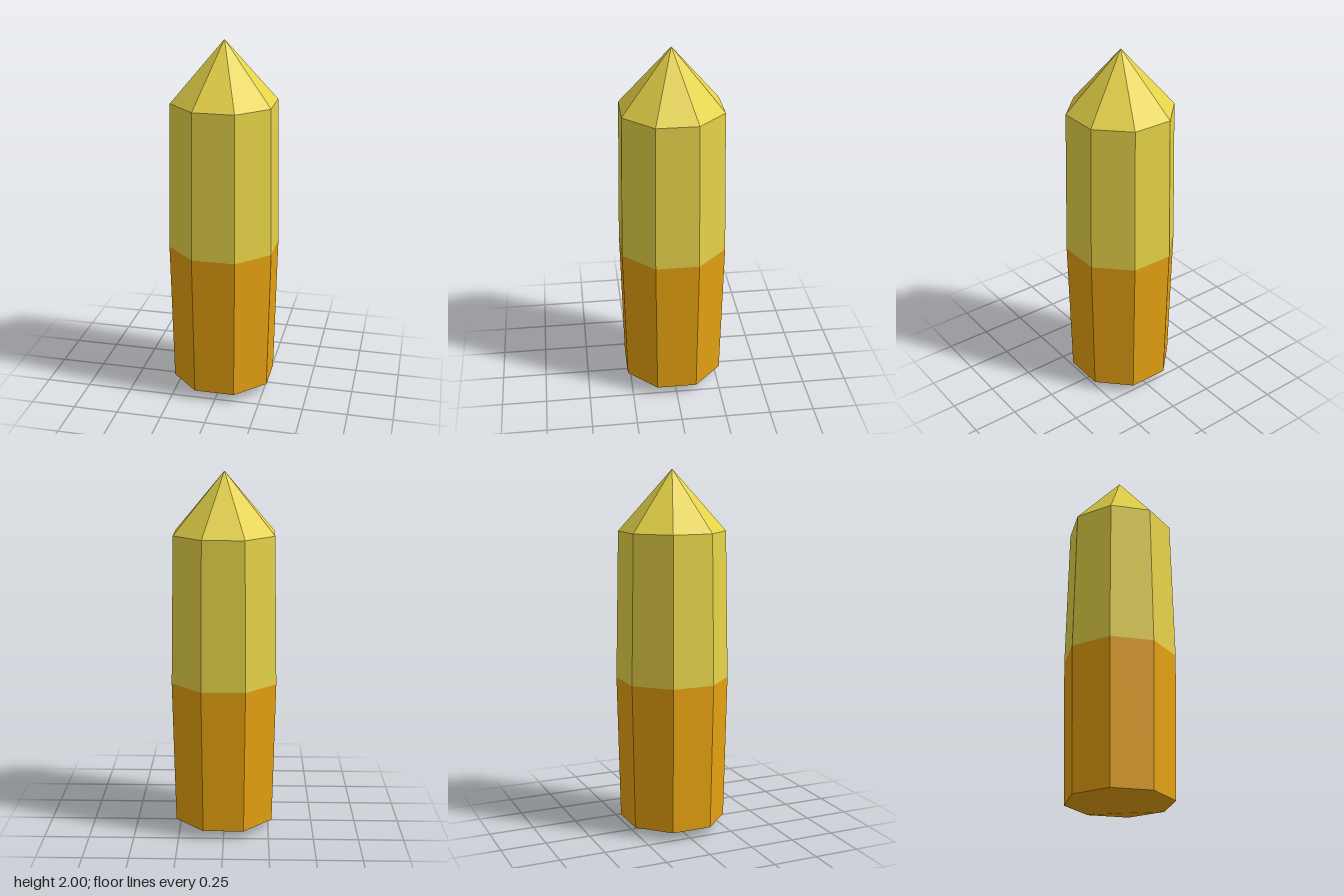
import * as THREE from 'three';

const SIDES = 8;
const toCorner = 1 / Math.cos(Math.PI / SIDES); // flat-to-centre distance -> corner radius

export function createModel() {
  const group = new THREE.Group();
  group.name = 'crystal';

  const yellow = new THREE.MeshStandardMaterial({ color: 0xe6d349, flatShading: true });
  yellow.name = 'yellow';
  const orange = new THREE.MeshStandardMaterial({ color: 0xe6a211, flatShading: true });
  orange.name = 'orange';

  // One faceted ring section; profile is [flat distance, height], bottom to top
  const section = (name, profile, material) => {
    const points = profile.map(([r, y]) => new THREE.Vector2(r * toCorner, y));
    const geometry = new THREE.LatheGeometry(points, SIDES, Math.PI / SIDES);
    const mesh = new THREE.Mesh(geometry, material);
    mesh.name = name;
    group.add(mesh);
  };

  // Shallow pointed underside and lower shaft, widening to the middle
  section('bottomPoint', [[0, 0], [0.27, 0.053]], orange);
  section('lowerShaft', [[0.27, 0.053], [0.286, 0.86]], orange);

  // Upper shaft narrowing to the tall tip
  section('upperShaft', [[0.286, 0.86], [0.27, 1.67]], yellow);
  section('tip', [[0.27, 1.67], [0, 2]], yellow);

  return group;
}
